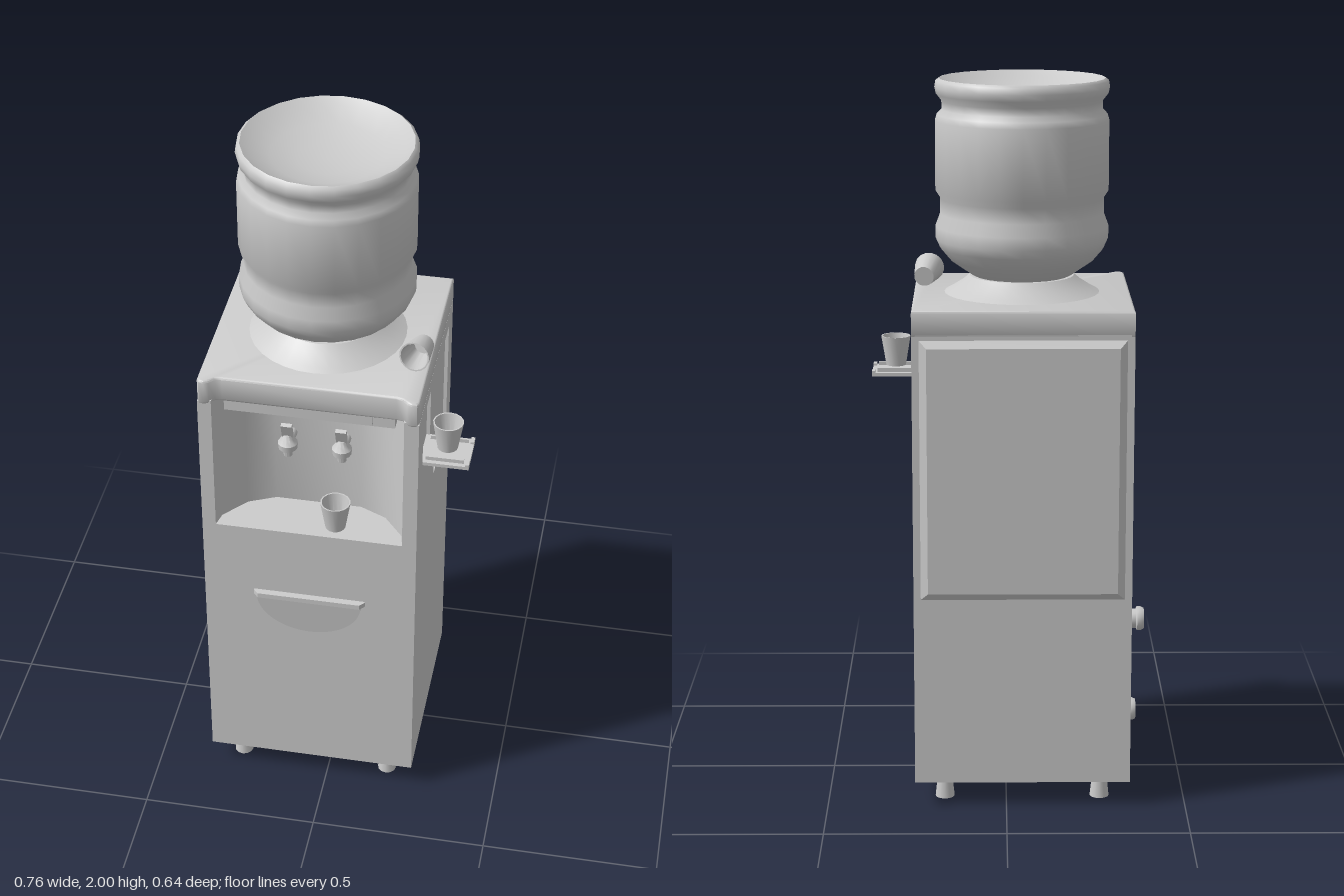
import * as THREE from 'three';
import { toCreasedNormals } from 'three/addons/utils/BufferGeometryUtils.js';

const CX = -0.045; // centre line of the cabinet
const grey = new THREE.MeshStandardMaterial({ color: 0xcccccc, side: THREE.DoubleSide });

export function createModel() {
  const model = new THREE.Group();

  const add = (name, geometry, x = 0, y = 0, z = 0, parent = model) => {
    const mesh = new THREE.Mesh(geometry, grey);
    mesh.name = name;
    mesh.position.set(x, y, z);
    parent.add(mesh);
    return mesh;
  };
  const box = (name, x0, x1, y0, y1, z0, z1) => add(name,
    new THREE.BoxGeometry(x1 - x0, y1 - y0, z1 - z0), (x0 + x1) / 2, (y0 + y1) / 2, (z0 + z1) / 2);
  const lathe = (points, segments, crease = 0.7) => toCreasedNormals(
    new THREE.LatheGeometry(points.map(p => new THREE.Vector2(...p)), segments), crease);
  // Plan outline given as [x, z], raised from y0 to y1
  const prism = (name, plan, y0, y1, bevel = 0) => {
    const shape = new THREE.Shape(plan.map(([x, z]) => new THREE.Vector2(x, -z)));
    const g = new THREE.ExtrudeGeometry(shape, {
      depth: y1 - y0 - 2 * bevel, bevelEnabled: bevel > 0, bevelThickness: bevel,
      bevelSize: bevel, bevelOffset: -bevel, bevelSegments: 2,
    });
    g.rotateX(-Math.PI / 2);
    return add(name, toCreasedNormals(g, 0.8), 0, y0 + bevel, 0);
  };
  const rect = (Type, x0, x1, y0, y1) => new Type([[x0, y0], [x1, y0], [x1, y1], [x0, y1]]
    .map(p => new THREE.Vector2(...p)));

  // Cabinet: lower body, alcove section with curved back wall, scooped lid
  box('lowerBody', -0.335, 0.245, 0.07, 0.92, -0.305, 0.297);
  prism('alcoveSection', [
    [-0.335, -0.305], [0.245, -0.305], [0.245, 0.297], [0.215, 0.297], [0.207, 0.255], [0.15, 0.185],
    [0.075, 0.15], [-0.165, 0.15], [-0.24, 0.185], [-0.298, 0.255], [-0.307, 0.297], [-0.335, 0.297],
  ], 0.92, 1.345);
  prism('lid', [
    [-0.345, -0.305], [0.255, -0.305], [0.255, 0.288], [0.249, 0.3], [0.235, 0.303], [0.222, 0.297],
    [0.208, 0.282], [0.19, 0.279], [-0.28, 0.279], [-0.298, 0.282], [-0.312, 0.297], [-0.325, 0.303],
    [-0.339, 0.3], [-0.345, 0.288],
  ], 1.335, 1.41, 0.006);

  // Side skins with sunken grip panels; the +x one also holds the cup niche
  for (const side of [-1, 1]) {
    const skin = rect(THREE.Shape, -0.297, 0.305, 0.07, 1.34);
    skin.holes.push(rect(THREE.Path, 0, 0.235, 0.945, 1.295));
    if (side > 0) skin.holes.push(rect(THREE.Path, -0.22, -0.09, 1.145, 1.305));
    const g = new THREE.ExtrudeGeometry(skin, { depth: 0.01, bevelEnabled: false });
    g.rotateY(Math.PI / 2);
    add('sidePanel', g, side > 0 ? 0.245 : -0.345, 0, 0);
  }

  // Bevelled back panel
  add('backPanel', new THREE.ExtrudeGeometry(rect(THREE.Shape, -0.305, 0.215, 0.625, 1.31), {
    depth: 0.01, bevelThickness: 0.015, bevelSize: 0.02, bevelSegments: 1,
  }), 0, 0, -0.305);

  // Control strip under the lid
  box('controlHousing', -0.28, 0.185, 1.295, 1.34, 0.14, 0.262);
  box('controlStrip', -0.22, 0.125, 1.302, 1.335, 0.25, 0.27);

  // Door scoop: half ellipse whose face leans outward toward the top
  const bowl = new THREE.Shape();
  bowl.absellipse(CX, 0.69, 0.148, 0.125, Math.PI, 2 * Math.PI);
  const bowlGeometry = new THREE.ExtrudeGeometry(bowl, { depth: 1, bevelEnabled: false, curveSegments: 20 });
  const pos = bowlGeometry.attributes.position;
  for (let i = 0; i < pos.count; i++) {
    const lean = (pos.getY(i) - 0.565) / 0.125;
    pos.setZ(i, pos.getZ(i) > 0.5 ? 0.3 + 0.012 * lean : 0.29);
  }
  bowlGeometry.computeVertexNormals();
  add('doorScoop', bowlGeometry);
  prism('doorScoopLip', [[-0.205, 0.29], [0.115, 0.29], [0.113, 0.302], [0.1, 0.316], [-0.19, 0.316], [-0.203, 0.302]],
    0.685, 0.7);

  // Collar and bottle with a dished base on top
  add('bottleCollar', lathe([[0.225, 1.405], [0.2, 1.418], [0.165, 1.44], [0.145, 1.457], [0.1, 1.457]], 32), CX, 0, -0.003);
  add('bottle', lathe([
    [0.09, 1.42], [0.1, 1.44], [0.14, 1.46], [0.2, 1.502], [0.228, 1.535], [0.239, 1.56], [0.239, 1.595],
    [0.226, 1.63], [0.226, 1.672], [0.239, 1.692], [0.239, 1.885], [0.234, 1.902], [0.221, 1.916],
    [0.221, 1.938], [0.236, 1.957], [0.24, 1.975], [0.237, 1.993], [0.228, 2], [0.205, 1.985],
    [0.15, 1.96], [0.08, 1.945], [0, 1.94],
  ], 24, 1.2), CX, 0, -0.003);

  // Cups: in the alcove, on the side tray and lying on the lid
  const cupGeometry = lathe([[0, 0], [0.028, 0], [0.042, 0.085], [0.038, 0.085], [0.025, 0.007], [0, 0.007]], 16);
  add('alcoveCup', cupGeometry, 0.02, 0.92, 0.245);
  add('trayCup', cupGeometry, 0.313, 1.167, 0.15);
  const lyingCup = add('lyingCup', cupGeometry, 0.229, 1.438, 0.064);
  lyingCup.quaternion.setFromUnitVectors(new THREE.Vector3(0, 1, 0), new THREE.Vector3(-0.17, 0.16, 1).normalize());

  // Side tray with rails and end posts
  box('cupTray', 0.245, 0.38, 1.145, 1.155, 0.088, 0.215);
  for (const z of [0.106, 0.199]) {
    box('trayRail', 0.26, 0.365, 1.153, 1.166, z - 0.003, z + 0.003);
  }
  for (const z of [0.095, 0.198]) box('trayCorner', 0.37, 0.38, 1.15, 1.161, z - 0.007, z + 0.017);
  box('nicheSlot', 0.244, 0.249, 1.276, 1.284, 0.115, 0.195);

  // Taps: stem from the wall, turned body with spout, tilted lever
  const tapBody = lathe([[0, -0.035], [0.012, -0.035], [0.014, -0.018], [0.026, -0.01], [0.028, 0.008],
    [0.018, 0.022], [0.011, 0.035], [0, 0.035]], 12);
  for (const x of [-0.12, 0.03]) {
    const tap = new THREE.Group();
    tap.name = 'tap';
    tap.position.set(x, 1.152, 0.2);
    model.add(tap);
    add('tapBody', tapBody, 0, 0, 0, tap);
    add('tapStem', new THREE.CylinderGeometry(0.013, 0.018, 0.06, 12).rotateX(Math.PI / 2), 0, 0.005, -0.03, tap);
    add('tapLever', new THREE.BoxGeometry(0.03, 0.05, 0.012), 0, 0.054, 0.008, tap).rotation.x = 0.35;
  }

  // Flanged pipe stubs on the -x side
  const pipe = lathe([[0.027, -0.005], [0.027, 0.014], [0.033, 0.017], [0.033, 0.027], [0.029, 0.036], [0, 0.036]], 16);
  for (const [y, z] of [[0.53, -0.24], [0.145, 0.08]]) {
    add('pipeStub', pipe, -0.345, y, z).rotation.z = Math.PI / 2;
  }

  // Feet
  for (const x of [-0.263, 0.173]) for (const z of [-0.225, 0.235]) {
    add('foot', new THREE.CylinderGeometry(0.019, 0.027, 0.075, 12), x, 0.0375, z);
  }
  return model;
}
